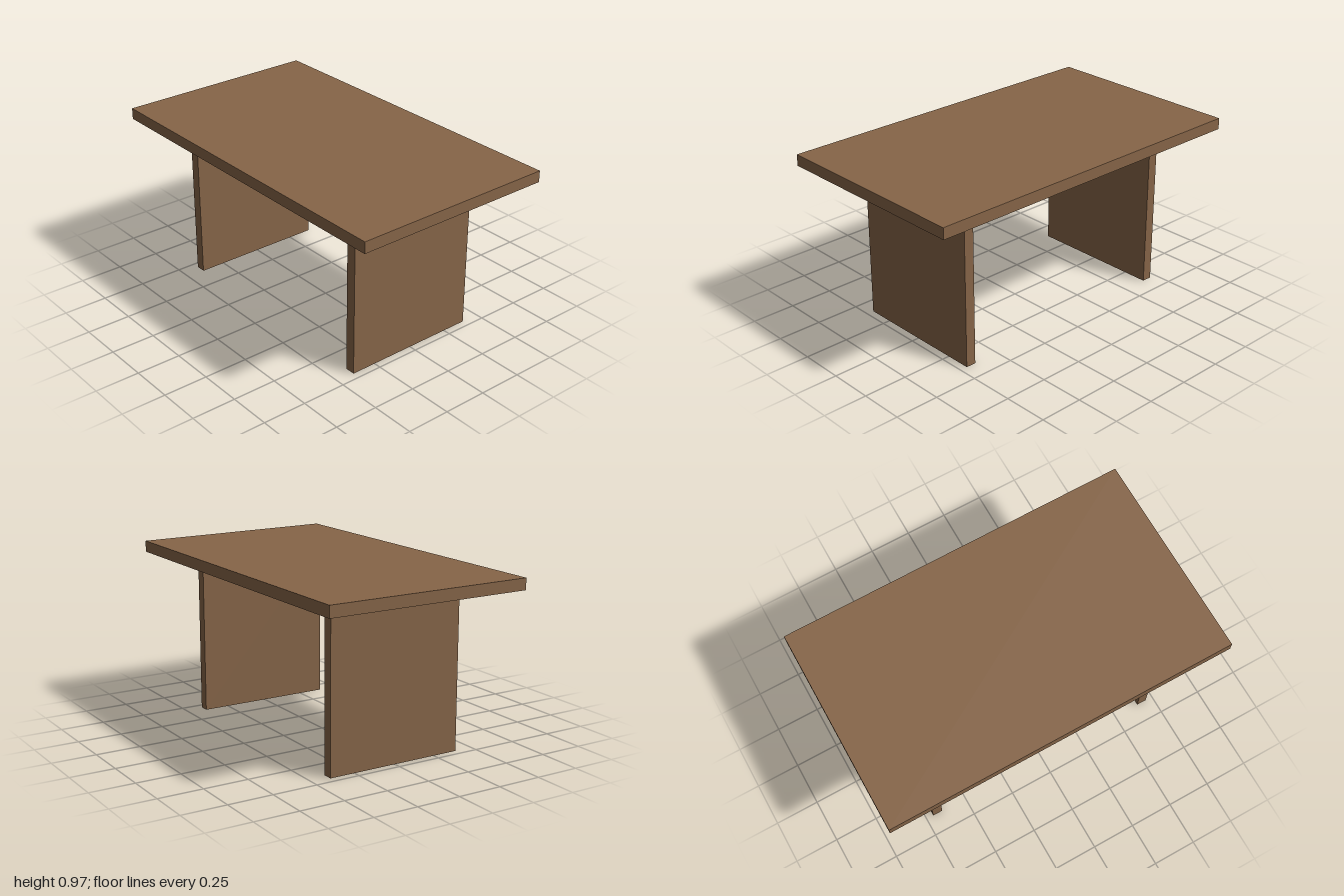
import * as THREE from 'three';

const material = (name, color) => {
  const m = new THREE.MeshStandardMaterial({ color });
  m.name = name;
  return m;
};

export function createModel() {
  const wood = material('walnut wood', 0x866548);
  const steel = material('dark steel', 0x2e2e2e);
  const bolt = material('black bolt', 0x1e1e1e);

  const model = new THREE.Group();
  model.name = 'table';

  const add = (parent, name, geometry, mat, x, y, z) => {
    const mesh = new THREE.Mesh(geometry, mat);
    mesh.name = name;
    mesh.position.set(x, y, z);
    parent.add(mesh);
    return mesh;
  };

  const under = 0.906; // underside of the top
  const legX = 0.679, legWidth = 0.058;
  const plate = 0.006;

  // Table top
  add(model, 'tableTop', new THREE.BoxGeometry(2, 0.064, 1.174), wood, 0, under + 0.032, 0);

  // Slab legs, each with an angle bracket on both faces
  const legGeo = new THREE.BoxGeometry(legWidth, under, 0.788);
  const flangeGeo = new THREE.BoxGeometry(0.1, plate, 0.678);
  const webGeo = new THREE.BoxGeometry(plate, 0.07, 0.678);
  const boltGeo = new THREE.CylinderGeometry(0.009, 0.009, 0.007, 12);

  for (const side of [-1, 1]) {
    const leg = new THREE.Group();
    leg.name = side > 0 ? 'leftLeg' : 'rightLeg';
    leg.position.x = side * legX;
    model.add(leg);
    add(leg, 'legPanel', legGeo, wood, 0, under / 2, 0);

    for (const face of [-1, 1]) {
      const bracket = new THREE.Group();
      bracket.name = face === side ? 'outerBracket' : 'innerBracket';
      leg.add(bracket);
      const x0 = legWidth / 2;
      add(bracket, 'topFlange', flangeGeo, steel, face * (x0 + 0.05), under - plate / 2, 0);
      add(bracket, 'legFlange', webGeo, steel, face * (x0 + plate / 2), under - 0.036, 0);

      // Bolt heads in both flanges
      for (const z of [-0.26, -0.086, 0.086, 0.26]) {
        add(bracket, 'topBolt', boltGeo, bolt, face * 0.083, under - plate - 0.003, z);
        add(bracket, 'legBolt', boltGeo, bolt, face * (x0 + plate + 0.003), 0.872, z).rotation.z = Math.PI / 2;
      }
    }
  }
  return model;
}
